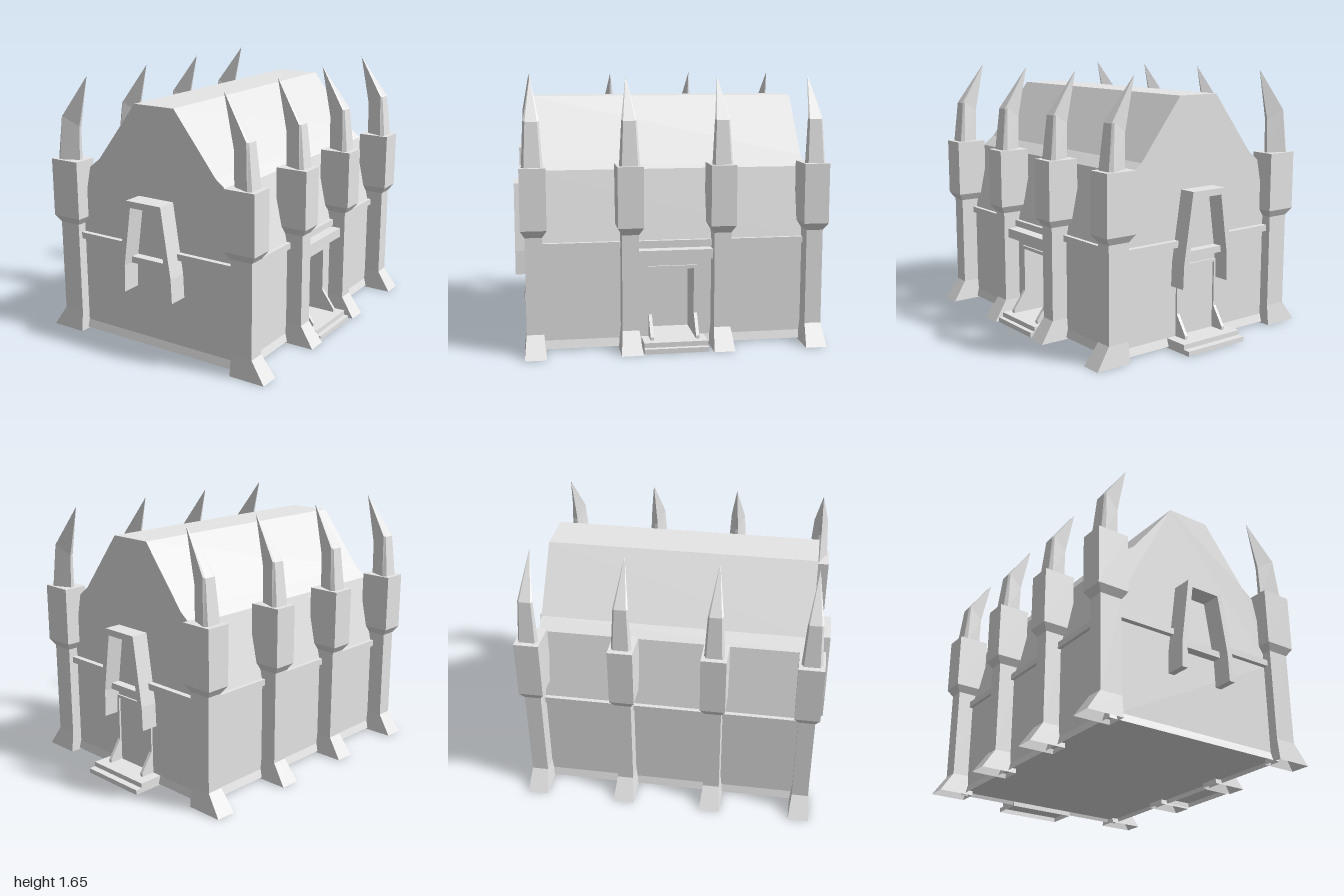
import * as THREE from 'three';

// double-sided because feet, steps and skirt are open underneath
const stone = new THREE.MeshStandardMaterial({ color: 0xe7e7e7, side: THREE.DoubleSide });
stone.name = 'stone grey';

function add(parent, geometry, name) {
  const mesh = new THREE.Mesh(geometry, stone);
  mesh.name = name;
  parent.add(mesh);
  return mesh;
}

// box given by its limits
function block(parent, name, x0, x1, y0, y1, z0, z1) {
  const mesh = add(parent, new THREE.BoxGeometry(x1 - x0, y1 - y0, z1 - z0), name);
  mesh.position.set((x0 + x1) / 2, (y0 + y1) / 2, (z0 + z1) / 2);
  return mesh;
}

const toShape = (points) => new THREE.Shape(points.map(([x, y]) => new THREE.Vector2(x, y)));

// outline in xy, extruded from z0 to z1
function slab(parent, name, points, z0, z1) {
  const geometry = new THREE.ExtrudeGeometry(toShape(points), { depth: z1 - z0, bevelEnabled: false });
  geometry.translate(0, 0, z0);
  return add(parent, geometry, name);
}

// flat-faced skin through a row of rings of [x, y, z]
function loft(rings, { closed = true, cap = false } = {}) {
  const out = [];
  const tri = (a, b, c) => out.push(...a, ...b, ...c);
  const n = rings[0].length;
  for (let r = 0; r < rings.length - 1; r++) {
    const lo = rings[r], hi = rings[r + 1];
    for (let i = 0; i < (closed ? n : n - 1); i++) {
      const j = (i + 1) % n;
      tri(lo[i], lo[j], hi[j]);
      tri(lo[i], hi[j], hi[i]);
    }
  }
  const top = rings[rings.length - 1];
  for (let i = 1; cap && i < n - 1; i++) tri(top[0], top[i], top[i + 1]);
  const geometry = new THREE.BufferGeometry();
  geometry.setAttribute('position', new THREE.Float32BufferAttribute(out, 3));
  geometry.computeVertexNormals();
  return geometry;
}

const rect = (y, x0, x1, z0, z1) => [[x1, y, z1], [x1, y, z0], [x0, y, z0], [x0, y, z1]];

// buttress with flared foot, wide head and a bent horn on top
function buttress() {
  const group = new THREE.Group();
  group.name = 'buttress';
  add(group, loft([
    rect(0, 0.57, 0.802, -0.065, 0.065),
    rect(0.13, 0.57, 0.712, -0.051, 0.051),
    rect(0.715, 0.57, 0.712, -0.051, 0.051),
    rect(0.76, 0.54, 0.743, -0.077, 0.077),
    rect(1.125, 0.54, 0.743, -0.077, 0.077),
  ], { cap: true }), 'buttressPillar');
  // horn section: sharp inner edge, widest near the outside, chamfered outer face
  const hornRing = (xo, yo, xs, ys, xi, yi, zo, zs, zi) => [
    [xo, yo, zo], [xo, yo, -zo], [xs, ys, -zs], [xi, yi, -zi], [xi, yi, zi], [xs, ys, zs],
  ];
  add(group, loft([
    hornRing(0.71, 1.12, 0.685, 1.12, 0.57, 1.12, 0.048, 0.063, 0.012),
    hornRing(0.68, 1.39, 0.668, 1.395, 0.565, 1.335, 0.036, 0.046, 0.009),
    hornRing(0.495, 1.65, 0.495, 1.65, 0.495, 1.65, 0, 0, 0),
  ]), 'horn');
  return group;
}

// doorway facing local +z with steps, surround and sloping side braces
function entrance(name, halfWidth, lower, upper, brace, braceX, recess) {
  const group = new THREE.Group();
  group.name = name;
  const tread = (y) => rect(y, -halfWidth, halfWidth, 0, lower);
  add(group, loft([tread(0), tread(0.03)], { cap: true }), 'lowerStep');
  block(group, 'upperStep', -halfWidth, halfWidth, 0.03, 0.06, 0, upper);
  block(group, 'lintel', -braceX, braceX, 0.48, 0.5, -recess, 0.012);
  for (const s of [-1, 1]) {
    const x = s * (braceX - 0.01);
    block(group, 'doorJamb', x - 0.01, x + 0.01, 0.06, 0.48, -recess, 0.012);
    const side = slab(group, 'stepBrace',
      [[0, 0.06], [brace, 0.06], [brace, 0.08], [0.012, 0.2], [0, 0.2]], -0.01, 0.01);
    side.rotation.y = -Math.PI / 2;
    side.position.x = x;
  }
  return group;
}

export function createModel() {
  const model = new THREE.Group();
  model.name = 'hall';
  const front = 0.877, back = -0.802, wall = 0.606, floor = 0.03, doorZ = 0.047;

  // roof, left wall and floor as one skin along z
  const rightSide = [[wall, 0.64], [0.508, 1.085], [0.43, 1.145], [0.142, 1.515]];
  const leftSide = rightSide.map(([x, y]) => [-x, y]).reverse();
  const section = [...rightSide, ...leftSide, [-wall, floor], [wall, floor]];
  const rings = [back, front].map((z) => section.map(([x, y]) => [x, y, z]));
  add(model, loft(rings, { closed: false }), 'roofAndWall');

  // gable walls
  const gable = new THREE.ShapeGeometry(toShape(section));
  add(model, gable, 'frontGable').position.z = front;
  const backGable = add(model, gable, 'backGable');
  backGable.position.z = back;
  backGable.rotation.y = Math.PI;

  // right wall with the doorway cut out
  const panel = toShape([[-front, floor], [-back, floor], [-back, 0.64], [-front, 0.64]]);
  const l = -doorZ - 0.13, r = -doorZ + 0.13;
  panel.holes.push(toShape([[l, 0.06], [l, 0.48], [r, 0.48], [r, 0.06]]));
  const rightWall = add(model, new THREE.ShapeGeometry(panel), 'rightWall');
  rightWall.rotation.y = Math.PI / 2;
  rightWall.position.x = wall;

  // flared skirt along the foot of the walls
  const skirt = (y, d) => rect(y, -wall - d, wall + d, back - d, front + d);
  add(model, loft([skirt(0.01, 0.016), skirt(0.06, 0.001)]), 'skirt');

  // string course around the walls
  for (const s of [-1, 1]) {
    const x = s * (wall - 0.005);
    block(model, 'sideCourse', x - 0.027, x + 0.027, 0.62, 0.66, back, front);
    for (const [z0, z1] of [[front - 0.01, 0.91], [-0.838, back + 0.01]]) {
      block(model, 'endCourse', s > 0 ? 0.16 : -0.6, s > 0 ? 0.6 : -0.16, 0.62, 0.66, z0, z1);
    }
  }

  // tapering arch and crossbar on each gable
  const half = [[0.127, 0.96], [0.192, 0.53], [0.198, 0.38], [0.157, 0.38], [0.152, 0.55], [0.097, 0.92]];
  const arch = [...half, ...half.map(([x, y]) => [-x, y]).reverse()];
  for (const [name, z0, z1, b0, b1] of [
    ['front', front - 0.01, 1, front - 0.01, 0.935],
    ['back', -0.911, back + 0.01, -0.86, back + 0.01],
  ]) {
    slab(model, name + 'Arch', arch, z0, z1);
    block(model, name + 'Crossbar', -0.155, 0.155, 0.55, 0.59, b0, b1);
  }

  // back and side entrances
  const backDoor = entrance('backEntrance', 0.226, 0.198, 0.155, 0.09, 0.16, 0.01);
  backDoor.rotation.y = Math.PI;
  backDoor.position.z = back;
  const sideDoor = entrance('sideEntrance', 0.195, 0.177, 0.147, 0.098, 0.15, 0.2);
  block(sideDoor, 'sideDoor', -0.14, 0.14, 0.05, 0.49, -0.21, -0.2);
  block(sideDoor, 'doorwayFloor', -0.14, 0.14, 0.05, 0.06, -0.2, 0);
  sideDoor.rotation.y = Math.PI / 2;
  sideDoor.position.set(wall, 0, doorZ);
  model.add(backDoor, sideDoor);
  block(model, 'sideCanopy', wall - 0.01, 0.682, 0.55, 0.61, -0.19, 0.275);

  // four buttresses along each side
  for (const z of [0.887, 0.317, -0.243, -0.815]) {
    for (const turn of [0, Math.PI]) {
      const b = buttress();
      b.position.z = z;
      b.rotation.y = turn;
      model.add(b);
    }
  }
  return model;
}
